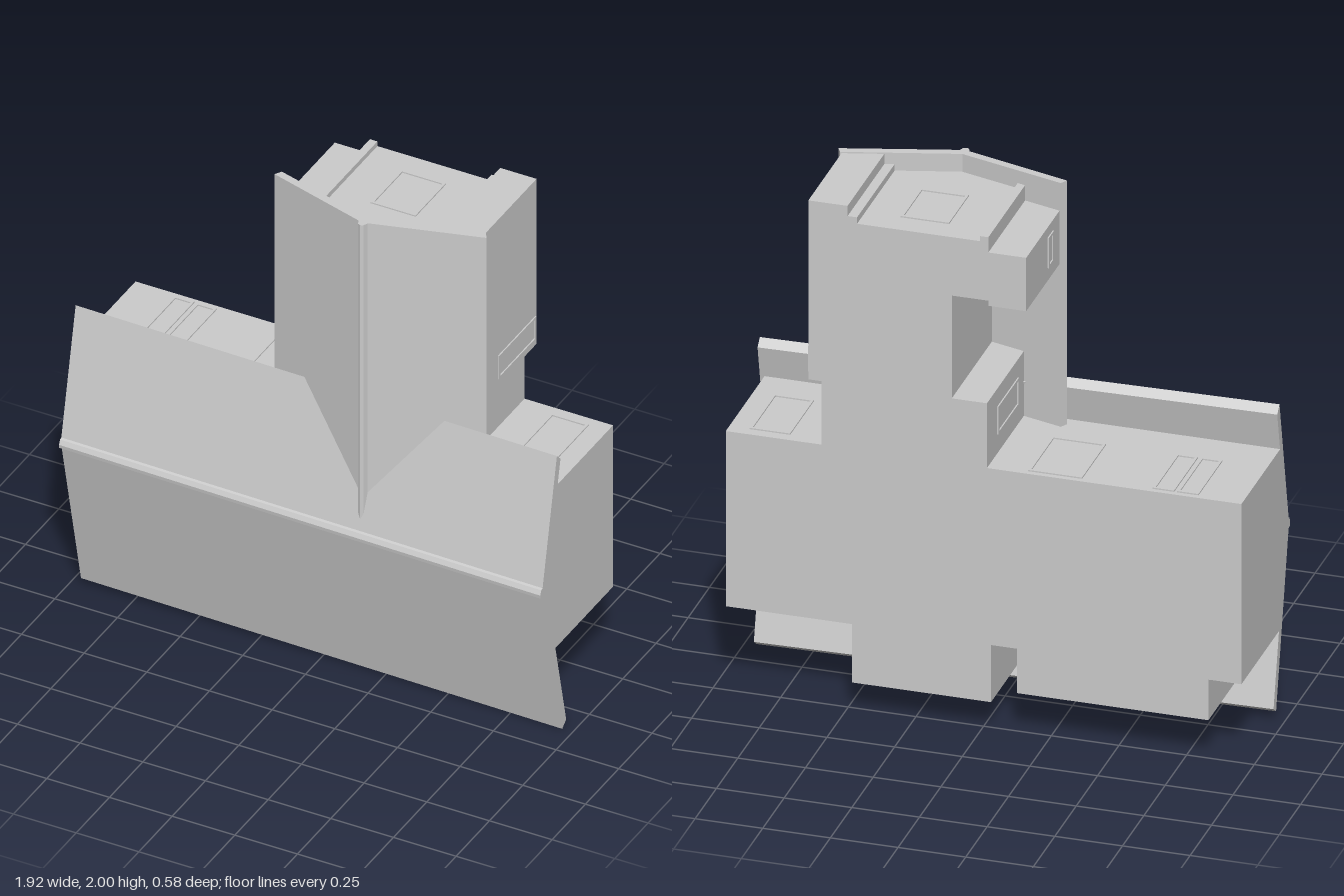
import * as THREE from 'three';

const BACK = -0.29, RIDGE_Y = 0.685, RIDGE_X = 0.225;
const mat = new THREE.MeshStandardMaterial({ color: 0xcccccc, flatShading: true });
const V = (x, y, z) => new THREE.Vector3(x, y, z);
const X = V(1, 0, 0), Y = V(0, 1, 0), Z = V(0, 0, 1);
const alongX = new THREE.Matrix4().makeBasis(Y, Z, X); // outline given as (y, z)
const alongY = new THREE.Matrix4().makeBasis(Z, X, Y); // outline given as (z, x)

// underside of the two roofs, where the walls end
const mainZ = y => 0.245 - 0.23 * Math.abs(y - RIDGE_Y);
const wingZ = x => 0.213 - 0.27 * Math.abs(x - RIDGE_X);

export function createModel() {
  const model = new THREE.Group();

  const add = (name, geo) => {
    const mesh = new THREE.Mesh(geo, mat);
    mesh.name = name;
    model.add(mesh);
    return mesh;
  };
  const prism = (pts, from, to, basis, holes = []) => {
    const shape = new THREE.Shape(pts.map(p => new THREE.Vector2(...p)));
    holes.forEach(h => shape.holes.push(new THREE.Path(h.map(p => new THREE.Vector2(...p)))));
    const geo = new THREE.ExtrudeGeometry(shape, { depth: to - from, bevelEnabled: false });
    return geo.translate(0, 0, from).applyMatrix4(basis);
  };
  // the main roof runs very slightly downhill towards +x
  const tilt = geo => geo.applyMatrix4(new THREE.Matrix4().makeShear(-0.013, 0, 0, 0, 0, 0));

  // Main block: bays [x0, x1, bottom y], gabled towards the roof
  const TOP = 1.04;
  [
    [-0.965, -0.843, 0.33],
    [-0.843, -0.136, 0.17],
    [-0.136, -0.04, 0.345],
    [-0.04, 0.474, 0.12],
    [0.474, 0.94, 0.35],
  ].forEach(([x0, x1, y0]) => add('mainBay', prism(
    [[y0, BACK], [TOP, BACK], [TOP, mainZ(TOP)], [RIDGE_Y, mainZ(RIDGE_Y)], [y0, mainZ(y0)]],
    x0, x1, alongX)));

  // Wing: blocks [x0, x1, y0, y1]; a recess stays open on the -x side
  [
    [-0.025, 0.587, 1.0, 1.295],
    [0.105, 0.49, 1.295, 1.93],
    [0.49, 0.635, 1.29, 1.995],
    [0.455, 0.49, 1.9, 1.955],
    [0, 0.105, 1.7, 1.93],
    [-0.03, 0, 1.7, 1.95],
    [-0.17, -0.03, 1.68, 1.89],
  ].forEach(([x0, x1, y0, y1]) => {
    const pts = [[BACK, x0], [wingZ(x0), x0]];
    if (x0 < RIDGE_X && x1 > RIDGE_X) pts.push([wingZ(RIDGE_X), RIDGE_X]);
    pts.push([wingZ(x1), x1], [BACK, x1]);
    add('wingBlock', prism(pts, y0, y1, alongY));
  });

  // Main roof: folded slab with square-cut eaves
  add('mainRoof', tilt(prism([
    [0.0125, 0.125], [RIDGE_Y, 0.276], [1.203, 0.165],
    [1.175, 0.138], [RIDGE_Y, 0.244], [0.035, 0.095],
  ], -0.962, 0.958, alongX)));
  add('mainRidgeCap', tilt(prism([
    [0.662, 0.268], [0.668, 0.288], [0.682, 0.29], [0.7, 0.282], [0.704, 0.268], [RIDGE_Y, 0.255],
  ], -0.962, 0.958, alongX)));

  // Wing roof sinks into the main roof, which cuts the valleys
  add('wingRoof', prism([
    [0.124, -0.19], [0.245, RIDGE_X], [0.124, 0.655],
    [0.098, 0.64], [0.212, RIDGE_X], [0.098, -0.175],
  ], 0.75, 2, alongY));
  add('wingRidgeCap', prism([
    [0.235, 0.205], [0.258, 0.214], [0.263, RIDGE_X], [0.258, 0.236], [0.235, 0.245],
  ], 0.73, 2, alongY));

  // Thin window frames; w and h run along the two axes of the wall
  const frame = (name, pos, w, h, basis) => {
    const rect = (a, b) => [[-a, -b], [a, -b], [a, b], [-a, b]];
    const geo = prism(rect(w / 2, h / 2), -0.005, 0.005, basis,
      [rect(w / 2 - 0.01, h / 2 - 0.01)]);
    add(name, geo).position.set(...pos);
  };
  // on faces square to y: [x, y, z, depth along z, width along x]
  [
    [-0.27, TOP, -0.13, 0.28, 0.2],
    [-0.67, TOP, -0.13, 0.28, 0.08],
    [-0.76, TOP, -0.13, 0.28, 0.08],
    [0.79, TOP, -0.11, 0.28, 0.15],
    [0.235, 1.93, -0.08, 0.23, 0.18],
    [0.245, 0.12, -0.07, 0.22, 0.2],
    [-0.28, 0.17, -0.11, 0.2, 0.16],
    [-0.57, 0.17, -0.11, 0.2, 0.16],
  ].forEach(([x, y, z, w, h]) => frame('windowFrame', [x, y, z], w, h, alongY));
  // on faces square to x: [x, y, z, height along y, width along z]
  [
    [0.635, 1.365, -0.14, 0.1, 0.28],
    [0.474, 0.23, -0.08, 0.14, 0.28],
    [-0.025, 1.17, -0.05, 0.11, 0.24],
    [-0.17, 1.79, -0.01, 0.12, 0.06],
  ].forEach(([x, y, z, w, h]) => frame('sideWindowFrame', [x, y, z], w, h, alongX));

  return model;
}
